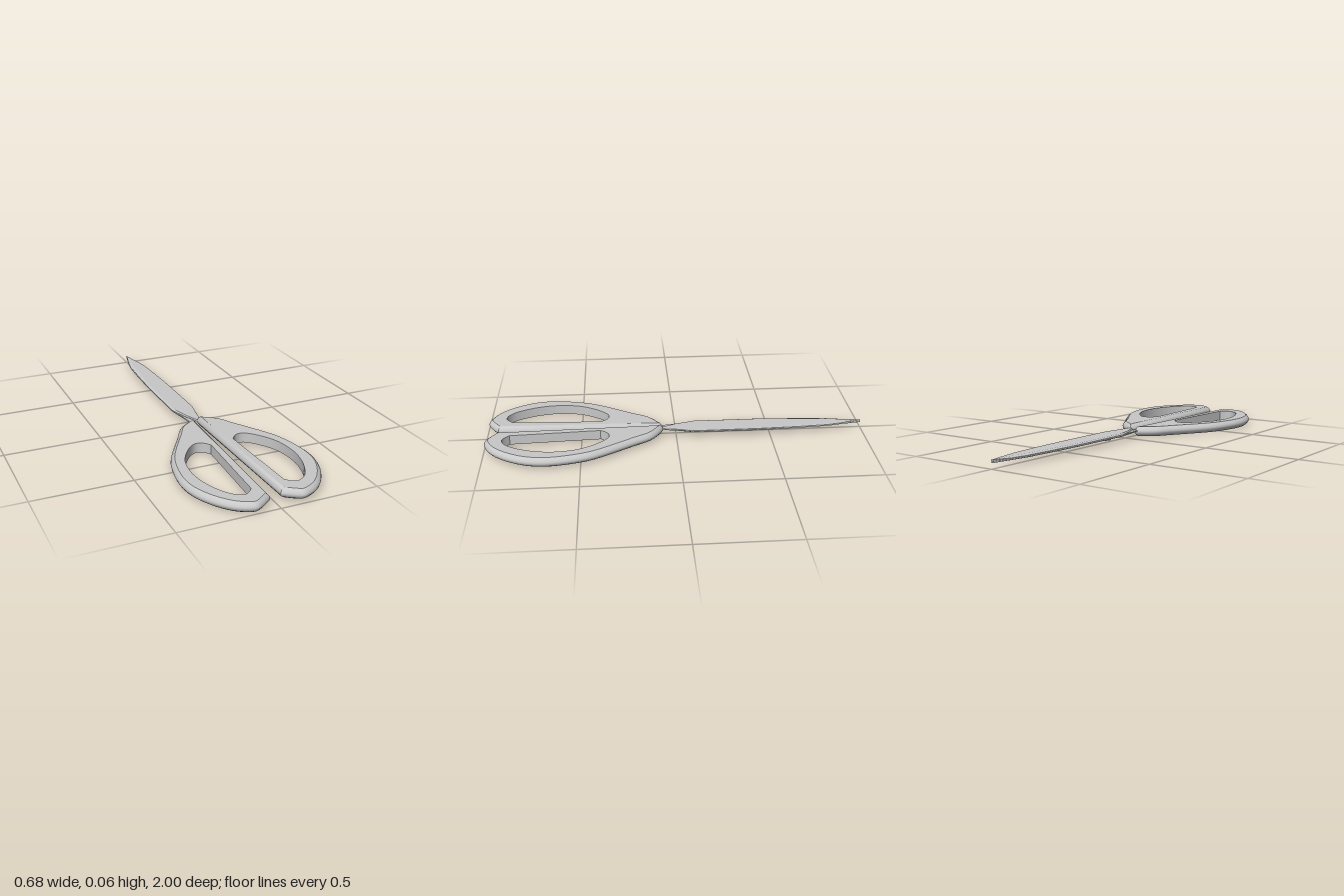
import * as THREE from 'three';
import { mergeGeometries, toCreasedNormals } from 'three/addons/utils/BufferGeometryUtils.js';

const steel = new THREE.MeshStandardMaterial({ color: 0xc8c8c8 });
steel.name = 'grey steel';

const MID = 0.035; // height of the plane where the blades meet

// Skin between successive closed rings of points
function loft(rings) {
  const pos = [];
  for (let r = 0; r < rings.length - 1; r++) {
    const lo = rings[r], hi = rings[r + 1], n = lo.length;
    for (let i = 0; i < n; i++) {
      const j = (i + 1) % n;
      for (const p of [lo[i], lo[j], hi[j], lo[i], hi[j], hi[i]]) pos.push(p.x, p.y, p.z);
    }
  }
  const g = new THREE.BufferGeometry();
  g.setAttribute('position', new THREE.Float32BufferAttribute(pos, 3));
  return g;
}

// Move a counter-clockwise outline inward by d, with mitred corners
function inset(pts, d) {
  const n = pts.length;
  return pts.map((p, i) => {
    const a = p.clone().sub(pts[(i + n - 1) % n]).normalize();
    const b = pts[(i + 1) % n].clone().sub(p).normalize();
    const m = new THREE.Vector2(-a.y - b.y, a.x + b.x).normalize();
    const k = Math.max(0.6, m.dot(new THREE.Vector2(-a.y, a.x)));
    return p.clone().addScaledVector(m, d / k);
  });
}

// Smooth open curve through [x, z] pairs, mirrored by side; plan y is -z
function outline(pairs, side, count, clockwise) {
  const curve = new THREE.SplineCurve(pairs.map(([x, z]) => new THREE.Vector2(side * x, -z)));
  const pts = curve.getPoints(count);
  if (THREE.ShapeUtils.isClockWise(pts) !== clockwise) pts.reverse();
  return pts;
}

const OUTER = [[0.005, 0.085], [0.025, 0.07], [0.11, 0.13], [0.165, 0.22], [0.265, 0.385], [0.31, 0.49],
  [0.338, 0.64], [0.328, 0.76], [0.28, 0.87], [0.21, 0.955], [0.13, 0.997], [0.085, 0.985], [0.026, 0.942]];
const HOLE = [[0.06, 0.4], [0.08, 0.372], [0.11, 0.355], [0.15, 0.367], [0.205, 0.43], [0.25, 0.52], [0.265, 0.635],
  [0.25, 0.74], [0.215, 0.83], [0.175, 0.885], [0.125, 0.905], [0.083, 0.87]];
// Rounded rim: [inset, height]
const RIM = [[0.02, 0], [0.009, 0.008], [0.002, 0.018], [0, 0.026], [0.002, 0.034], [0.009, 0.044], [0.02, 0.052]];

// Finger loop with a rounded outside and a straight-walled hole
function makeHandle(side, y0) {
  const outer = outline(OUTER, side, 48, false);
  const hole = outline(HOLE, side, 44, true);
  const lift = (pts, y) => pts.map((p) => new THREE.Vector3(p.x, y, -p.y));
  const parts = [
    loft(RIM.map(([d, y]) => lift(inset(outer, d), y))),
    loft([lift(hole, 0), lift(hole, 0.052)]),
  ];
  const face = new THREE.Shape(inset(outer, RIM[0][0]));
  face.holes.push(new THREE.Path(hole));
  for (const top of [true, false]) {
    let cap = new THREE.ShapeGeometry(face);
    if (!top) {
      const idx = cap.index.array;
      for (let i = 0; i < idx.length; i += 3) [idx[i], idx[i + 1]] = [idx[i + 1], idx[i]];
    }
    cap = cap.rotateX(-Math.PI / 2).translate(0, top ? 0.052 : 0, 0).toNonIndexed();
    cap.deleteAttribute('uv');
    cap.deleteAttribute('normal');
    parts.push(cap);
  }
  const mesh = new THREE.Mesh(toCreasedNormals(mergeGeometries(parts), 0.55), steel);
  mesh.position.y = y0;
  return mesh;
}

// Blade stations from shank to tip: [z, left x, right x, ground edge width]
const BLADE = [[0.16, 0.02, 0.045, 0.003], [0.07, 0.002, 0.028, 0.003], [0, -0.03, 0.04, 0.006], [-0.1, -0.06, 0.058, 0.01],
  [-0.45, -0.06, 0.057, 0.012], [-0.65, -0.05, 0.051, 0.015], [-0.81, -0.04, 0.041, 0.018],
  [-0.9, -0.023, 0.024, 0.015], [-1, 0, 0, 0]];

function makeBlade() {
  const v = (x, y, z) => new THREE.Vector3(x, y, z);
  const g = loft(BLADE.map(([z, l, r, w]) => [
    v(l, 0.0004, z), v(l, 0.0025, z), v(l + w, 0.008, z),
    v(r - w * 0.3, 0.008, z), v(r, 0.006, z), v(r, 0.0004, z),
  ]));
  g.computeVertexNormals();
  const mesh = new THREE.Mesh(g, steel);
  mesh.position.y = MID;
  return mesh;
}

export function createModel() {
  const group = new THREE.Group();
  group.name = 'scissors';
  const add = (mesh, name) => { mesh.name = name; group.add(mesh); return mesh; };

  add(makeHandle(1, 0.011), 'leftHandle');
  add(makeHandle(-1, 0), 'rightHandle');

  // The lower blade is the upper one turned over about its length
  add(makeBlade(), 'upperBlade');
  add(makeBlade(), 'lowerBlade').rotation.z = Math.PI;

  // Pivot rivet under the blades
  const rivet = add(new THREE.Mesh(new THREE.CylinderGeometry(0.03, 0.028, 0.014, 24), steel), 'rivet');
  rivet.position.set(0, 0.021, -0.17);
  return group;
}
